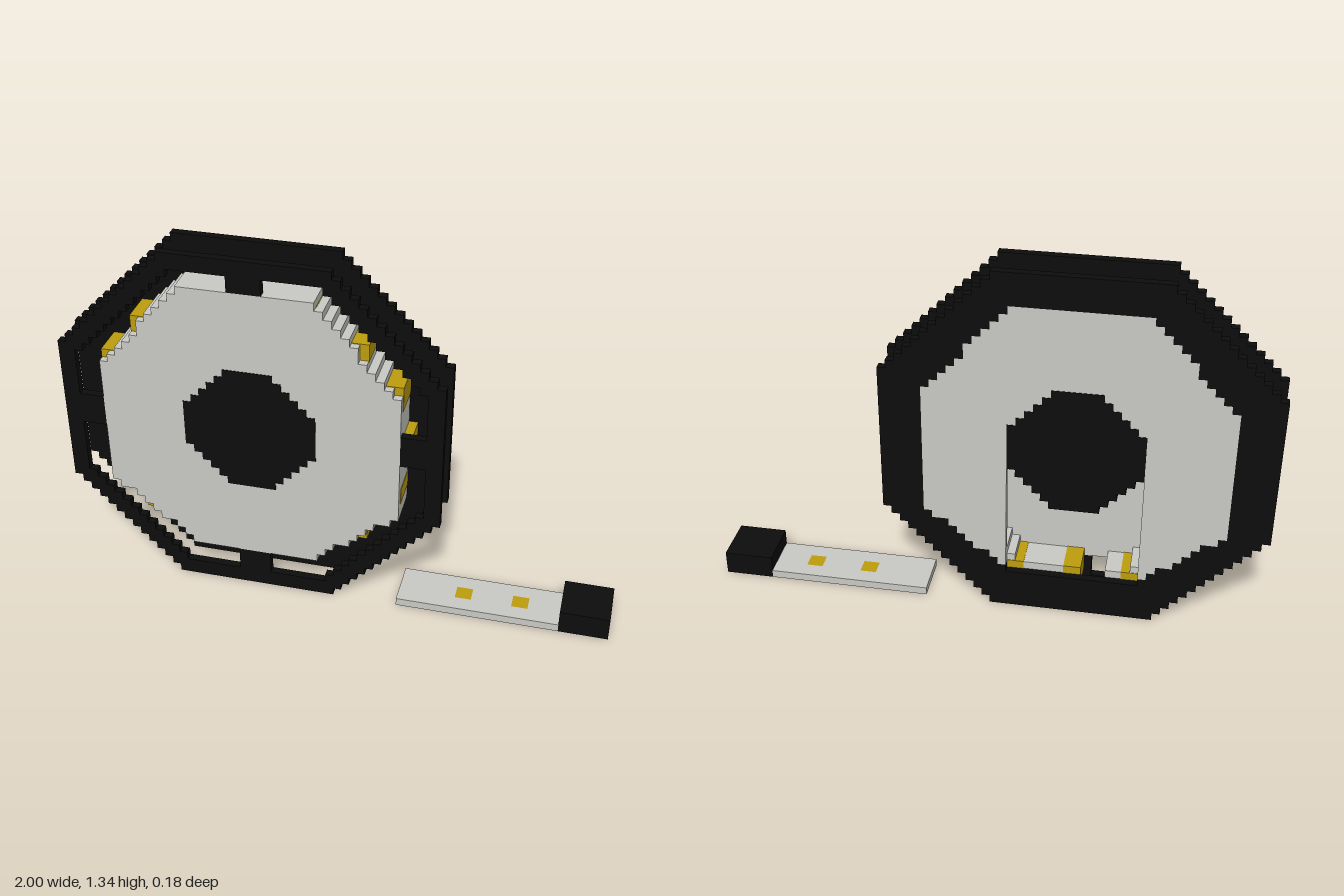
import * as THREE from 'three';

// Everything sits on a block grid: 67 blocks span the longest side.
const U = 2 / 67;
const mat = (name, color) => {
  const m = new THREE.MeshStandardMaterial({ color });
  m.name = name;
  return m;
};

// Stepped octagon, counter-clockwise, from the right to the left end of its bottom edge.
function octagon(x0, x1, y0, y1, cut, lowRows = cut, highRows = cut) {
  const right = [];
  const inset = (k, n) => Math.round((cut * (n - k)) / n);
  for (let k = 0; k < lowRows; k++) {
    const x = x1 - inset(k, lowRows);
    right.push([x, y0 + k], [x, y0 + k + 1]);
  }
  right.push([x1, y0 + lowRows], [x1, y1 - highRows]);
  for (let k = highRows - 1; k >= 0; k--) {
    const x = x1 - inset(k, highRows);
    right.push([x, y1 - k - 1], [x, y1 - k]);
  }
  const left = right.map(([x, y]) => [x0 + x1 - x, y]).reverse();
  // drop repeated points
  return [...right, ...left].filter((p, i, a) => !i || p[0] !== a[i - 1][0] || p[1] !== a[i - 1][1]);
}

const toVectors = (pts) => pts.map(([x, y]) => new THREE.Vector2(x * U - 1, y * U));

export function createModel() {
  const black = mat('black', 0x0d0d0d);
  const white = mat('offWhite', 0xc9c9c5);
  const gold = mat('gold', 0xbd9d0e);
  const model = new THREE.Group();
  model.name = 'stripReel';

  // Plate cut from an outline, between two depths given in blocks.
  const plate = (name, material, outline, z0, z1, hole) => {
    const shape = new THREE.Shape(toVectors(outline));
    if (hole) shape.holes.push(new THREE.Path(toVectors(hole)));
    const geo = new THREE.ExtrudeGeometry(shape, { depth: (z1 - z0) * U, bevelEnabled: false });
    const mesh = new THREE.Mesh(geo, material);
    mesh.position.z = z0 * U;
    mesh.name = name;
    model.add(mesh);
  };

  // Box between grid coordinates, grown slightly where it must cover a surface.
  const block = (name, material, x0, x1, y0, y1, z0, z1, grow = 0) => {
    const geo = new THREE.BoxGeometry((x1 - x0) * U + grow, (y1 - y0) * U + grow, (z1 - z0) * U + grow);
    const mesh = new THREE.Mesh(geo, material);
    mesh.position.set(((x0 + x1) / 2) * U - 1, ((y0 + y1) / 2) * U, ((z0 + z1) / 2) * U);
    mesh.name = name;
    model.add(mesh);
  };

  const rim = octagon(0, 46, 0, 45, 13);
  const disc = octagon(5, 41, 5, 41, 10, 8, 11);
  const discInner = octagon(6, 40, 6, 40, 10, 8, 11);
  const hub = octagon(15, 31, 15, 31, 5);

  // Rims: slim at the front, broad at the back
  plate('frontRim', black, rim, 2, 3, octagon(2, 44, 2, 43, 12));
  plate('backRim', black, rim, -3, -2, disc);

  // Spokes from the front rim to the front disc
  block('topSpoke', black, 21, 25, 41, 43, 2, 3);
  block('bottomSpoke', black, 21, 25, 2, 5, 2, 3);
  block('rightSpoke', black, 2, 5, 21, 25, 2, 3);
  block('leftSpoke', black, 41, 44, 21, 25, 2, 3);

  // Side discs; the back one has an open slot below the hub
  plate('frontDisc', white, disc, 2, 3);
  plate('backDisc', white, [...disc, [15, 23], [31, 23]], -3, -2);
  plate('hub', black, hub, -3.06, 3.06);

  // Wound strip, one block thick, with a gap at its end
  plate('woundStrip', white, [
    [22, 5], ...disc, [19, 5], [19, 6], ...discInner.slice().reverse(), [22, 6],
  ], -2, 2);

  // Contacts on the wound strip
  block('topContact', gold, 22, 24, 40, 42, -2, 2, 0.004);
  block('bottomContact', gold, 22, 24, 3, 6, -2, 2, 0.004);
  const sideContacts = [
    [40, 42, 22, 24], [35, 37, 34, 36], [35, 37, 9, 11], [39, 41, 28, 31],
    [40, 41, 15, 17], [29, 31, 39, 40], [29, 31, 5, 6],
  ];
  for (const [x0, x1, y0, y1] of sideContacts) {
    block('contact', gold, x0, x1, y0, y1, -2, 2, 0.004);
    block('contact', gold, 46 - x1, 46 - x0, y0, y1, -2, 2, 0.004);
  }

  // Loose strip end on the ground, with contacts and a plug
  const looseEnd = [[41, 48], [50, 55], [57, 61]];
  for (const [x0, x1] of looseEnd) block('looseStrip', white, x0, x1, 0, 1, -3, 3);
  for (const x of [48, 55]) {
    block('looseContact', gold, x, x + 2, 0, 1, -1, 1);
    for (const z of [-3, 1]) block('looseStripEdge', white, x, x + 2, 0, 1, z, z + 2);
  }
  block('plug', black, 61, 67, 0, 3, -3, 3);

  return model;
}
